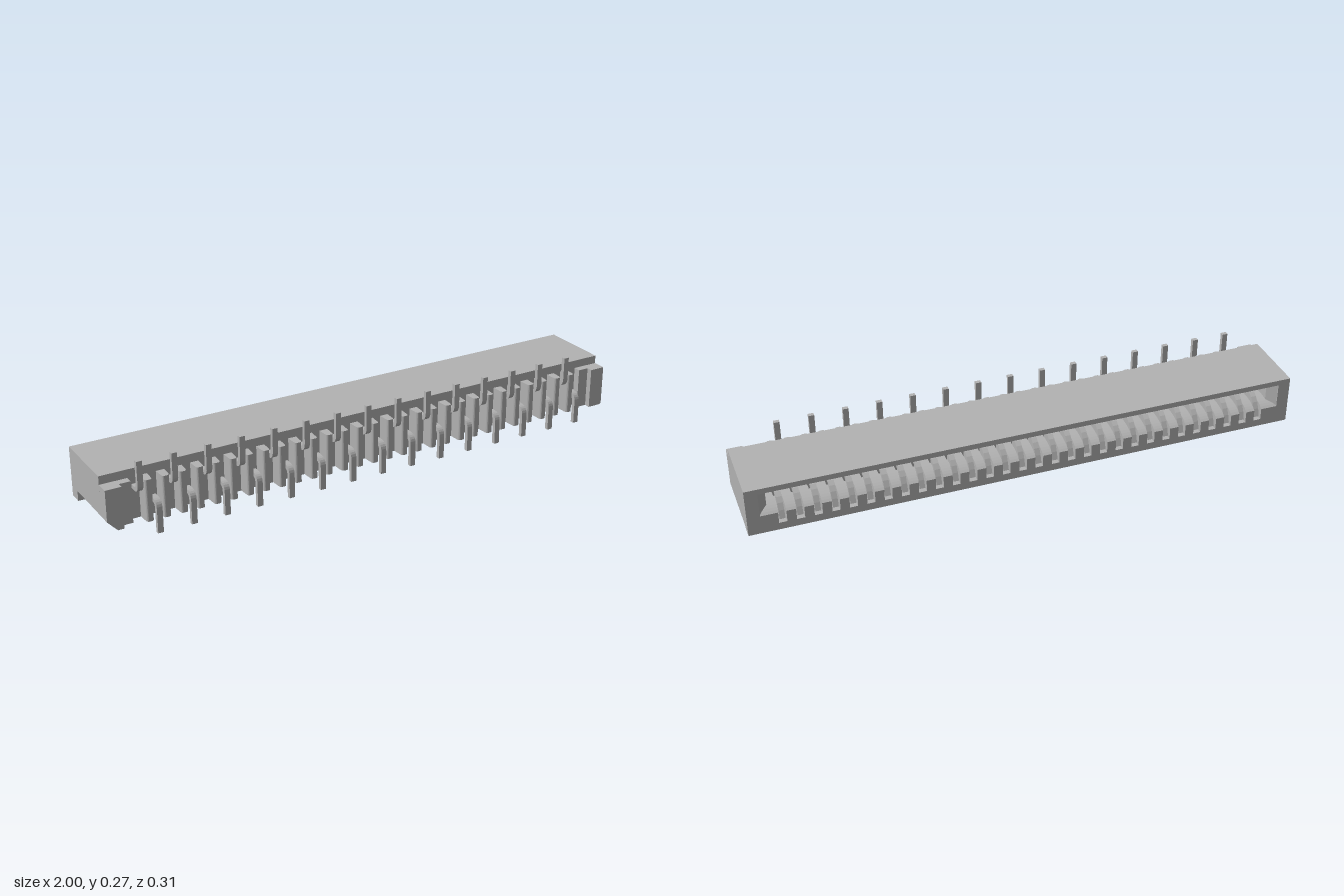
import * as THREE from 'three';

const PITCH = 0.0607, COUNT = 30;
const BOTTOM = 0.048, TOP = 0.228, STEP = 0.198, FLOOR = 0.075;
const BACK = -0.153, WALL = 0.103, FRONT = 0.152;

const polygon = pts => new THREE.Shape(pts.map(p => new THREE.Vector2(p[0], p[1])));
const extrude = (shape, depth) =>
  new THREE.ExtrudeGeometry(shape, { depth, bevelEnabled: false, curveSegments: 6 });

// outline in x,y pushed from z0 to z1
const alongZ = (shape, z0, z1) => extrude(shape, z1 - z0).translate(0, 0, z0);
// outline in z,y pushed across x, centred
const alongX = (shape, w) => extrude(shape, w).translate(0, 0, -w / 2).rotateY(-Math.PI / 2);
// outline in x,-z pushed from y0 to y1
const alongY = (shape, y0, y1) => extrude(shape, y1 - y0).rotateX(-Math.PI / 2).translate(0, y0, 0);

// bent solder tail: leaves the wall at exitY and turns to tipY
function tailShape(exitY, tipY) {
  const d = Math.sign(tipY - exitY), t = 0.015;
  const s = new THREE.Shape();
  s.moveTo(0.09, exitY);
  s.lineTo(0.123, exitY);
  s.quadraticCurveTo(0.155, exitY, 0.155, exitY + d * 0.035);
  s.lineTo(0.155, tipY);
  s.lineTo(0.14, tipY);
  s.lineTo(0.14, exitY + d * 0.035);
  s.quadraticCurveTo(0.14, exitY + d * t, 0.123, exitY + d * t);
  s.lineTo(0.09, exitY + d * t);
  return s;
}

export function createModel() {
  const model = new THREE.Group();
  const grey = new THREE.MeshStandardMaterial({ color: 0xb2b2b2 });
  const add = (name, geometry, x = 0, parent = model) => {
    const mesh = new THREE.Mesh(geometry, grey);
    mesh.name = name;
    mesh.position.x = x;
    parent.add(mesh);
    return mesh;
  };
  const group = name => {
    const g = new THREE.Group();
    g.name = name;
    model.add(g);
    return g;
  };

  // housing outlines
  const keyed = top => polygon([
    [-1, 0.085], [-0.965, BOTTOM], [0.995, BOTTOM], [1, 0.053], [1, top], [-1, top]]);
  const opening = () => new THREE.Path([
    [-0.955, FLOOR], [-0.955, 0.208], [0.955, 0.208], [0.955, FLOOR]
  ].map(p => new THREE.Vector2(p[0], p[1])));

  const mouth = polygon([[-1, BOTTOM], [1, BOTTOM], [1, TOP], [-1, TOP]]);
  mouth.holes.push(opening());
  add('mouthFrame', alongZ(mouth, BACK, -0.105));
  const sleeve = keyed(TOP);
  sleeve.holes.push(opening());
  add('cavitySleeve', alongZ(sleeve, -0.105, 0));
  add('housingCore', alongZ(keyed(TOP), 0, WALL));

  // front corner blocks with a lower shoulder beside each
  add('rightEndBlock', alongZ(polygon([
    [-1, 0.085], [-0.965, BOTTOM], [-0.943, BOTTOM], [-0.943, STEP], [-1, STEP]]), WALL, FRONT));
  add('leftEndBlock', alongZ(polygon([
    [0.943, BOTTOM], [0.995, BOTTOM], [1, 0.053], [1, STEP], [0.943, STEP]]), WALL, FRONT));
  const shoulder = polygon([
    [-0.02, BOTTOM], [0.02, BOTTOM], [0.02, STEP], [-0.02, STEP]]);
  for (const side of [-1, 1]) add('endShoulder', alongZ(shoulder, WALL, 0.13), side * 0.923);

  // flared ends of the mouth
  for (const side of [-1, 1]) {
    const pts = [[0.955, 0.15], [0.955, 0.02], [0.925, 0.02], [0.925, 0.12]]
      .map(([x, z]) => [side * x, z]);
    add('mouthFlare', alongY(polygon(pts), FLOOR, 0.208));
  }

  // rounded floor ribs separating the contact slots
  const rib = new THREE.Shape();
  rib.moveTo(BACK, FLOOR);
  rib.lineTo(0, FLOOR);
  rib.lineTo(0, 0.14);
  rib.lineTo(-0.085, 0.14);
  rib.quadraticCurveTo(-0.13, 0.138, BACK, 0.118);
  const slots = group('floorRibs');
  const first = -PITCH * (COUNT - 1) / 2;
  const ribWidth = PITCH - 0.028;
  for (let i = 0; i < COUNT - 1; i++)
    add('floorRib', alongX(rib, ribWidth), first + (i + 0.5) * PITCH, slots);
  const endWidth = 0.955 + first - 0.014;
  for (const side of [-1, 1])
    add('endRib', alongX(rib, endWidth), side * (0.955 - endWidth / 2), slots);

  // front teeth with rounded noses, one in each gap between tails
  const tooth = new THREE.Shape();
  tooth.moveTo(-0.015, -WALL);
  tooth.lineTo(-0.013, -0.14);
  tooth.quadraticCurveTo(-0.012, -0.15, -0.004, -0.15);
  tooth.lineTo(0.004, -0.15);
  tooth.quadraticCurveTo(0.012, -0.15, 0.013, -0.14);
  tooth.lineTo(0.015, -WALL);
  const teeth = group('frontTeeth');
  for (let i = 0; i < COUNT - 1; i++)
    add('frontTooth', alongY(tooth, BOTTOM, STEP), first + (i + 0.5) * PITCH, teeth);

  // arched spring contact inside the mouth
  const spring = new THREE.Shape();
  spring.moveTo(0, 0.145);
  spring.lineTo(-0.06, 0.165);
  spring.quadraticCurveTo(-0.12, 0.178, -0.147, 0.085);
  spring.lineTo(-0.133, 0.08);
  spring.quadraticCurveTo(-0.112, 0.16, -0.06, 0.15);
  spring.lineTo(0, 0.13);

  // contacts, with tails turned up and down in turn
  const contacts = group('contacts');
  const springGeometry = alongX(spring, 0.02);
  const upTail = alongX(tailShape(0.158, 0.273), 0.02);
  const downTail = alongX(tailShape(0.118, 0), 0.02);
  for (let i = 0; i < COUNT; i++) {
    const x = first + i * PITCH;
    add('springContact', springGeometry, x, contacts);
    add(i % 2 ? 'downTail' : 'upTail', i % 2 ? downTail : upTail, x, contacts);
  }
  return model;
}
